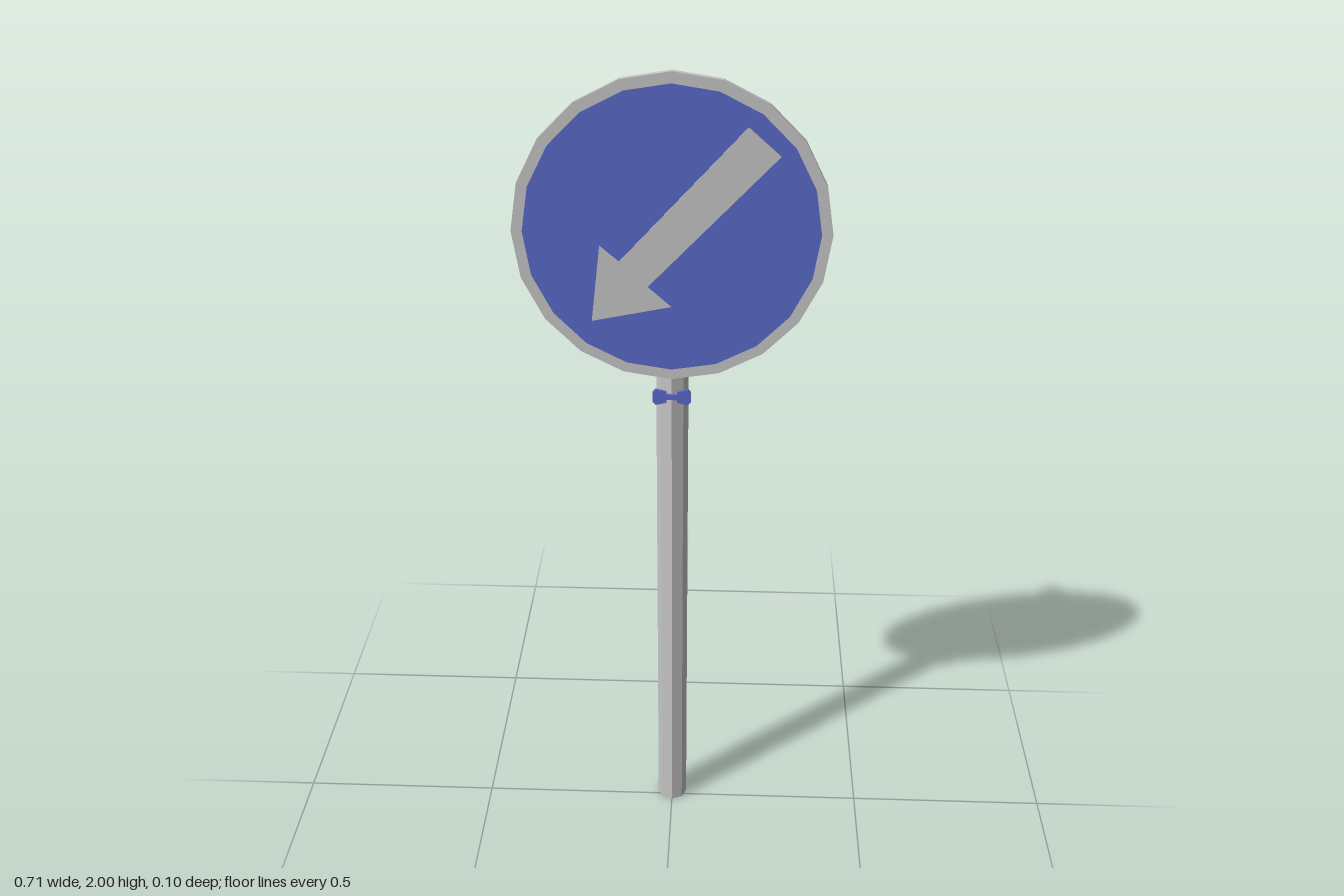
import * as THREE from 'three';

export function createModel() {
  const model = new THREE.Group();
  const grey = new THREE.MeshStandardMaterial({ color: 0xc8c8c8, flatShading: true });
  grey.name = 'galvanised grey';
  const blue = new THREE.MeshStandardMaterial({ color: 0x5a6cca, flatShading: true });
  blue.name = 'sign blue';

  const add = (name, geometry, material, x, y, z) => {
    const mesh = new THREE.Mesh(geometry, material);
    mesh.name = name;
    mesh.position.set(x, y, z);
    model.add(mesh);
    return mesh;
  };
  const plate = (points, depth) => new THREE.ExtrudeGeometry(
    new THREE.Shape(points.map(([x, y]) => new THREE.Vector2(x, y))),
    { depth, bevelEnabled: false });

  // Eight-sided post
  add('post', new THREE.CylinderGeometry(0.038, 0.038, 1.905, 8), grey, 0, 0.9525, -0.016);

  // Round sign board with a grey rim around a blue face
  const signY = 1.645;
  add('signBoard', new THREE.CylinderGeometry(0.355, 0.355, 0.014, 20), grey, 0, signY, 0.033)
    .rotation.x = Math.PI / 2;
  add('signFace', new THREE.CircleGeometry(0.33, 20), blue, 0, signY, 0.0415);

  // Arrow pointing down towards the model's right
  const arrow = [
    [0.164, 1.886], [-0.116, 1.58], [-0.159, 1.617], [-0.18, 1.437],
    [0, 1.474], [-0.053, 1.521], [0.235, 1.823],
  ];
  add('arrow', plate(arrow, 0.002), grey, 0, 0, 0.047);

  // Small clamp on the front of the post: two lobes and a bridge
  for (const side of [-1, 1]) {
    const lobe = [[0.012, -0.014], [0.038, -0.02], [0.045, -0.012],
      [0.045, 0.012], [0.038, 0.02], [0.012, 0.014]].map(([x, y]) => [x * side, y]);
    add(side > 0 ? 'clampLeft' : 'clampRight', plate(lobe, 0.007), blue, 0, 1.235, 0.019);
  }
  add('clampBridge', new THREE.BoxGeometry(0.026, 0.014, 0.006), blue, 0, 1.235, 0.0225);

  return model;
}
